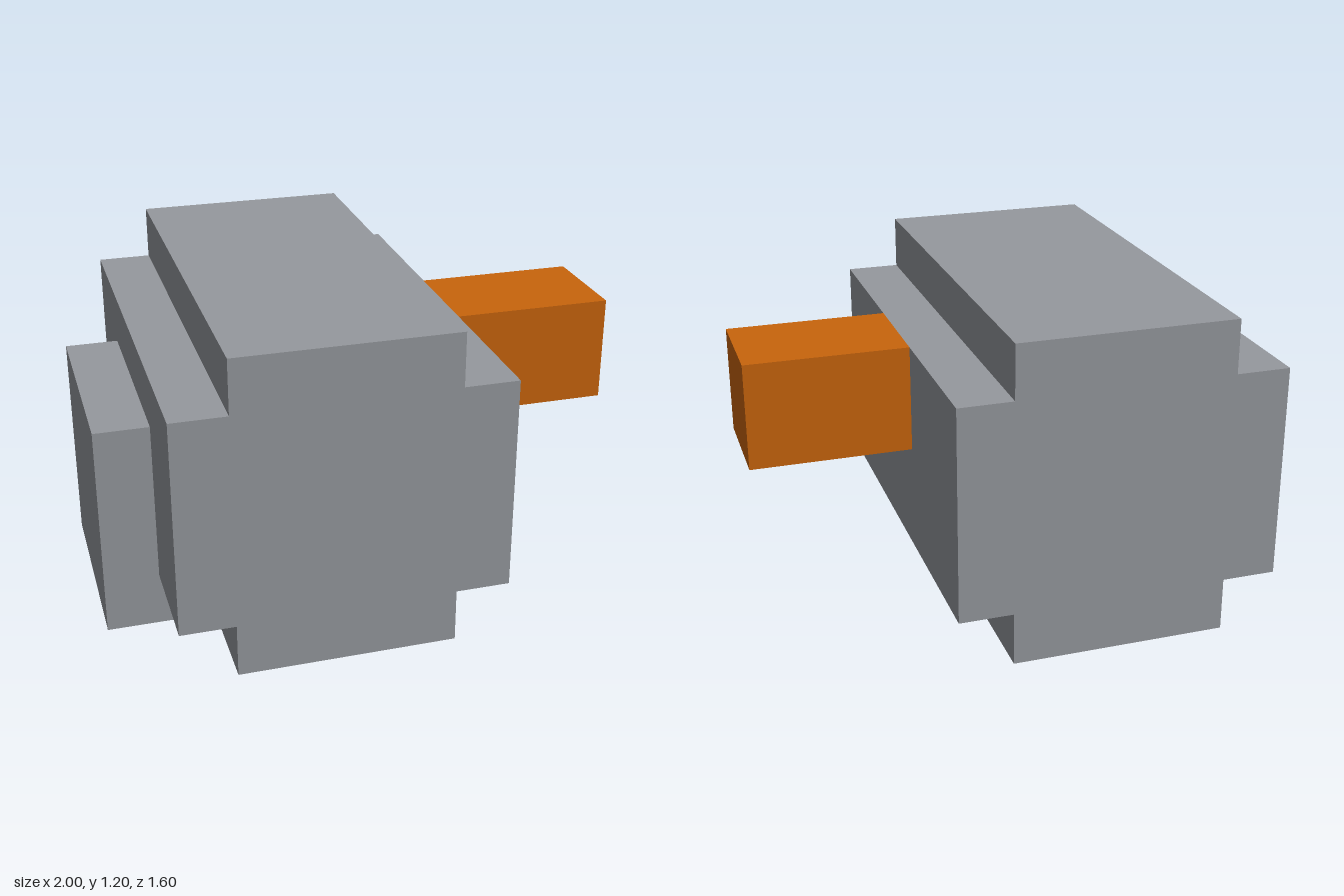
import * as THREE from 'three';

// Extrude an x/y outline along z, centred on z = 0
function extrudeOutline(name, points, depth, material) {
  const shape = new THREE.Shape(points.map(([x, y]) => new THREE.Vector2(x, y)));
  const geometry = new THREE.ExtrudeGeometry(shape, { depth, bevelEnabled: false });
  geometry.translate(0, 0, -depth / 2);
  const mesh = new THREE.Mesh(geometry, material);
  mesh.name = name;
  return mesh;
}

export function createModel() {
  const grey = new THREE.MeshStandardMaterial({ color: 0x96999e });
  grey.name = 'grey';
  const orange = new THREE.MeshStandardMaterial({ color: 0xc9650c });
  orange.name = 'orange';

  const model = new THREE.Group();
  model.name = 'model';

  // Body with stepped long edges
  model.add(extrudeOutline('body', [
    [-0.6, 0], [0.2, 0], [0.2, 0.2], [0.4, 0.2], [0.4, 1], [0.2, 1],
    [0.2, 1.2], [-0.6, 1.2], [-0.6, 1], [-0.8, 1], [-0.8, 0.2], [-0.6, 0.2],
  ], 1.6, grey));

  // Side plate whose foot fills the lower step
  model.add(extrudeOutline('sidePlate', [
    [-1, 0], [-0.6, 0], [-0.6, 0.2], [-0.8, 0.2], [-0.8, 0.8], [-1, 0.8],
  ], 0.8, grey));

  // Projecting block on the opposite side
  const block = new THREE.Mesh(new THREE.BoxGeometry(0.6, 0.4, 0.4), orange);
  block.name = 'projectingBlock';
  block.position.set(0.7, 0.8, 0);
  model.add(block);

  return model;
}
